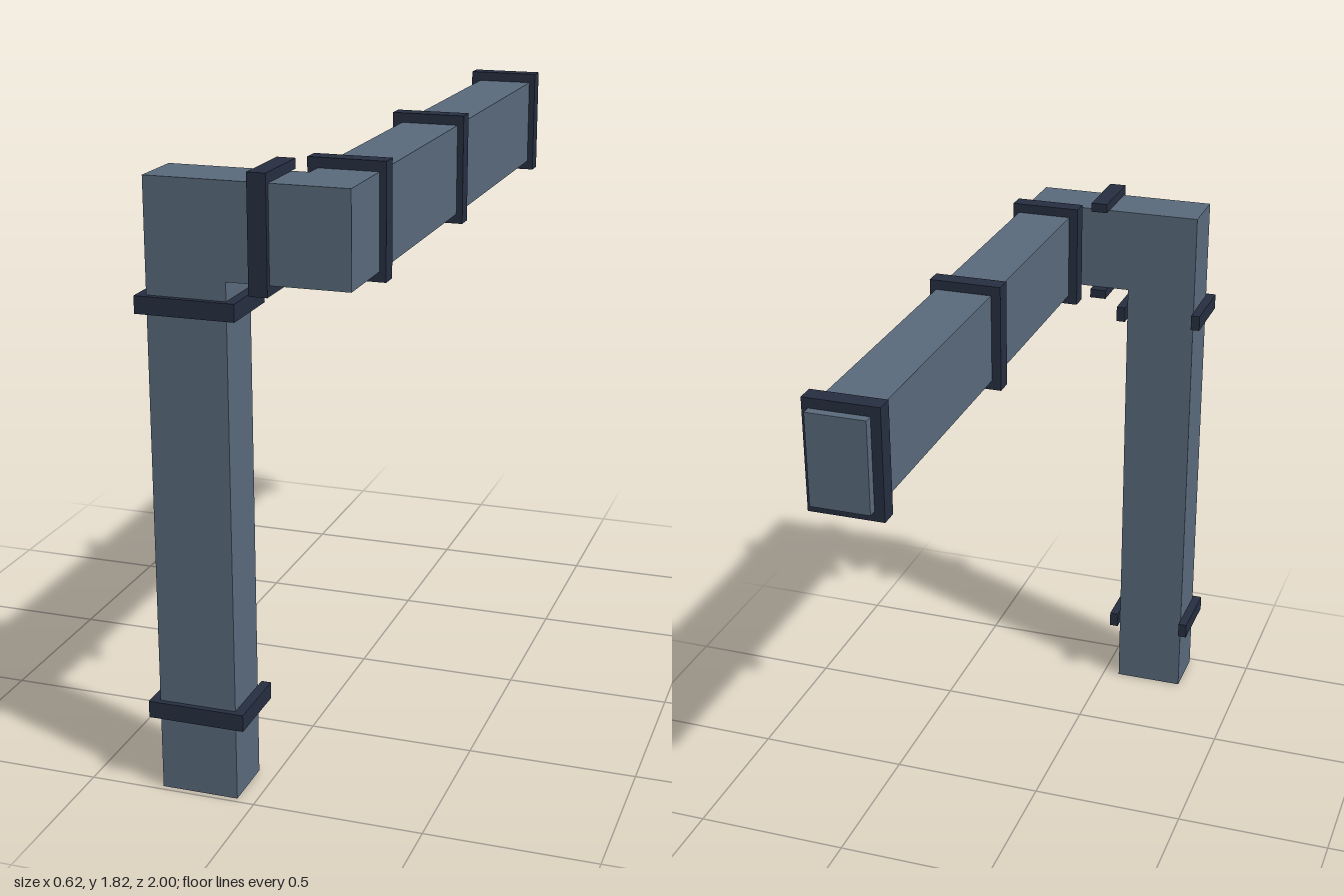
import * as THREE from 'three';

const ductMat = new THREE.MeshStandardMaterial({ color: 0x5a6a7c, side: THREE.DoubleSide });
const clampMat = new THREE.MeshStandardMaterial({ color: 0x262e40 });
const FACES = ['px', 'nx', 'py', 'ny', 'pz', 'nz'];

// Box between two corners, leaving out any listed faces
function boxBetween(name, material, [x0, y0, z0], [x1, y1, z1], open = []) {
  const geo = new THREE.BoxGeometry(x1 - x0, y1 - y0, z1 - z0);
  geo.translate((x0 + x1) / 2, (y0 + y1) / 2, (z0 + z1) / 2);
  const index = Array.from(geo.index.array);
  geo.setIndex(index.filter((_, i) => !open.includes(FACES[Math.floor(i / 6)])));
  geo.clearGroups();
  const mesh = new THREE.Mesh(geo, material);
  mesh.name = name;
  return mesh;
}

// Clamp made of flat plates, each given by its two corners
function clamp(name, plates) {
  const group = new THREE.Group();
  group.name = name;
  plates.forEach(([a, b]) => group.add(boxBetween('clampPlate', clampMat, a, b)));
  return group;
}

export function createModel() {
  const model = new THREE.Group();
  model.name = 'duct';

  // Duct extents
  const pL = -0.285, pR = -0.056;           // downpipe, x
  const aL = 0.118, aR = 0.291;             // long arm, x
  const zB = 0.81, zF = 0.983;              // downpipe and elbow, z
  const yB = 1.519, yT = 1.789;             // elbow and arm, y

  // Hollow duct sections, open where they join and at the foot
  model.add(
    boxBetween('downpipe', ductMat, [pL, 0, zB], [pR, yB, zF], ['ny', 'py']),
    boxBetween('upperCorner', ductMat, [pL, yB, zB], [pR, yT, zF], ['ny', 'px']),
    boxBetween('crossDuct', ductMat, [pR, yB, zB], [aL, yT, zF], ['nx', 'px']),
    boxBetween('armCorner', ductMat, [aL, yB, zB], [aR, yT, zF], ['nx', 'nz']),
    boxBetween('longArm', ductMat, [aL, yB, -1], [aR, yT, zB], ['pz'])
  );

  const t = 0.029;                          // clamp overhang
  const zBack = 0.779;

  // U-shaped clamps on the downpipe, open at the back
  for (const y of [0.225, 1.416]) {
    const y1 = y + 0.05;
    model.add(clamp('downpipeClamp', [
      [[pL - t, y, zF], [pR + t, y1, 1]],
      [[pL - t, y, zBack], [pL, y1, zF]],
      [[pR, y, zBack], [pR + t, y1, zF]]
    ]));
  }

  // U-shaped clamp on the cross duct, open at the back
  model.add(clamp('crossDuctClamp', [
    [[0.014, yB - t, zF], [0.067, yT + t, 1]],
    [[0.014, yB - t, zBack], [0.067, yB, zF]],
    [[0.014, yT, zBack], [0.067, yT + t, zF]]
  ]));

  // Full ring clamps along the arm
  for (const z of [0.696, -0.063, -0.973]) {
    const z1 = z + 0.054, xL = aL - t, xR = 0.31;
    model.add(clamp('armClamp', [
      [[xL, yT, z], [xR, yT + t, z1]],
      [[xL, yB - t, z], [xR, yB, z1]],
      [[xL, yB, z], [aL, yT, z1]],
      [[aR, yB, z], [xR, yT, z1]]
    ]));
  }

  return model;
}
